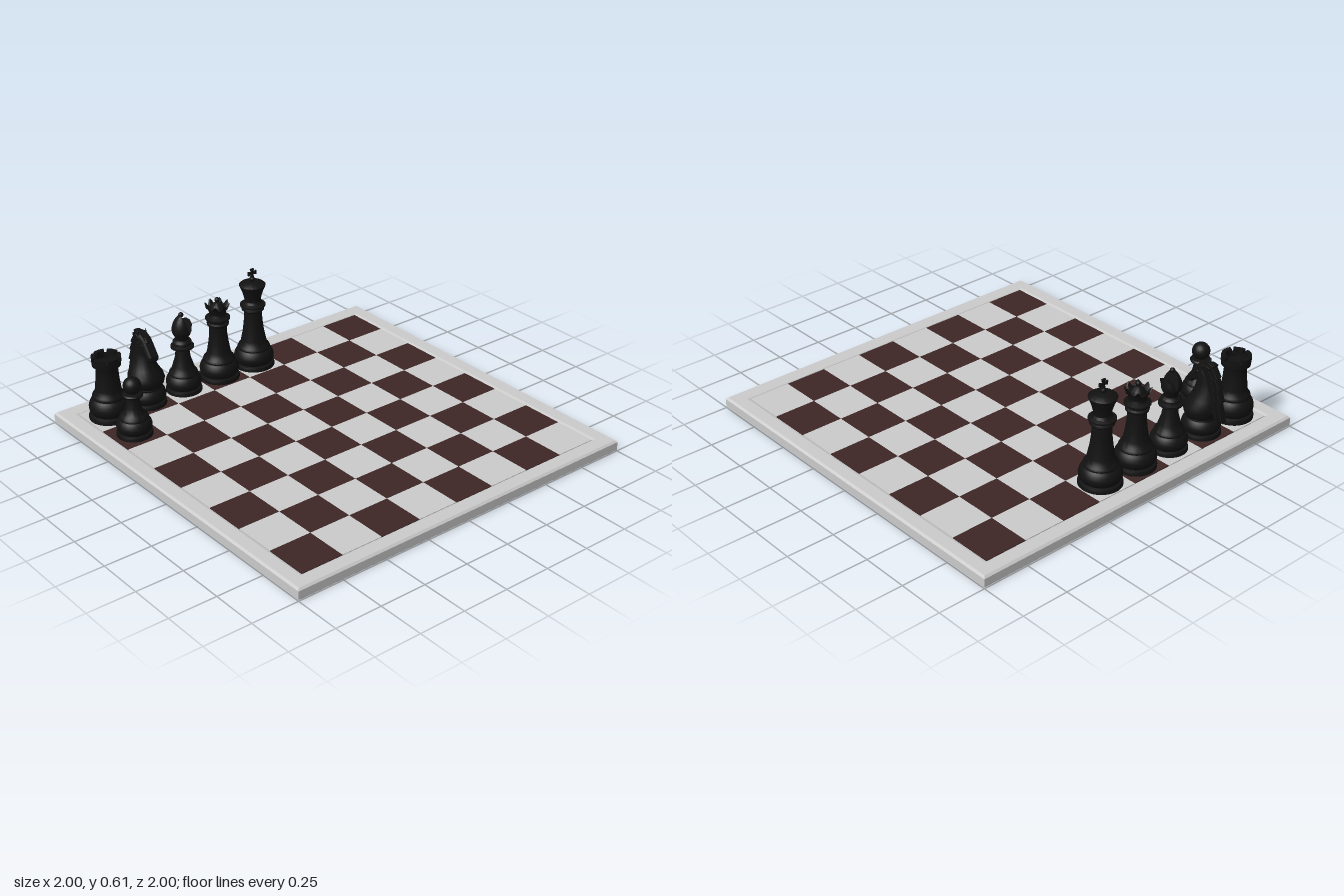
import * as THREE from 'three';
import { toCreasedNormals } from 'three/addons/utils/BufferGeometryUtils.js';

const light = new THREE.MeshStandardMaterial({ color: 0xcccccc });
const dark = new THREE.MeshStandardMaterial({ color: 0x3d2626 });
const black = new THREE.MeshStandardMaterial({ color: 0x111111, side: THREE.DoubleSide });
const CELL = 0.2275, TOP = 0.056;

function add(parent, name, geometry, material = black, x = 0, y = 0, z = 0) {
  const mesh = new THREE.Mesh(geometry, material);
  mesh.name = name;
  mesh.position.set(x, y, z);
  parent.add(mesh);
  return mesh;
}

// Turned form from [radius, height] pairs; an optional rule moves each vertex
function turned(profile, rule, segments = 48) {
  const g = new THREE.LatheGeometry(profile.map(([r, y]) => new THREE.Vector2(r, y)), segments);
  if (rule) {
    const p = g.attributes.position, v = new THREE.Vector3();
    for (let i = 0; i < p.count; i++) {
      rule(v.fromBufferAttribute(p, i));
      p.setXYZ(i, v.x, v.y, v.z);
    }
  }
  return toCreasedNormals(g, 0.6);
}

// Side silhouette ([z, y] pairs) given thickness along x
function slab(points, width, bevel) {
  const shape = new THREE.Shape(points.map(([z, y]) => new THREE.Vector2(z, y)));
  const depth = width - 2 * bevel;
  const g = new THREE.ExtrudeGeometry(shape, {
    depth, bevelThickness: bevel, bevelSize: bevel, bevelOffset: -bevel, bevelSegments: 2,
  });
  return g.translate(0, 0, -depth / 2).rotateY(-Math.PI / 2);
}

// Shared moulded foot, scaled by radius and height
function foot(r, h) {
  return [[0, 0], [1, 0], [1, 0.1], [0.97, 0.17], [0.86, 0.2], [0.9, 0.25], [0.97, 0.36], [0.98, 0.48],
    [0.93, 0.62], [0.84, 0.74], [0.78, 0.78], [0.8, 0.84], [0.76, 0.92], [0.66, 1]]
    .map(([a, b]) => [a * r, TOP + b * h]);
}

function ball(parent, name, r, y) {
  return add(parent, name, new THREE.SphereGeometry(r, 24, 16), black, 0, y, 0);
}

function createBoard() {
  const board = new THREE.Group();
  board.name = 'board';
  // Square moulded rim: a four-sided turned profile
  const rim = [[0, 0], [0.994, 0], [1, 0.006], [1, 0.05], [0.99, 0.06], [0.925, 0.06], [0.915, 0.057], [0.91, 0.05], [0.9, 0.05]];
  const g = new THREE.LatheGeometry(rim.map(([r, y]) => new THREE.Vector2(r * Math.SQRT2, y)), 4);
  add(board, 'rim', toCreasedNormals(g.rotateY(Math.PI / 4), 0.2), light);
  const tile = new THREE.BoxGeometry(CELL, 0.01, CELL);
  for (let i = 0; i < 8; i++) for (let j = 0; j < 8; j++)
    add(board, 'square', tile, (i + j) % 2 ? dark : light, (i - 3.5) * CELL, TOP - 0.005, (j - 3.5) * CELL);
  return board;
}

function pawn(g) {
  add(g, 'pawnBody', turned([...foot(0.092, 0.115), [0.05, 0.18], [0.04, 0.21], [0.032, 0.25], [0.032, 0.262],
    [0.05, 0.268], [0.053, 0.277], [0.048, 0.284], [0.027, 0.288], [0.022, 0.3]]));
  ball(g, 'pawnHead', 0.046, 0.324);
}

function rook(g) {
  add(g, 'rookBody', turned([...foot(0.105, 0.145), [0.066, 0.22], [0.06, 0.27], [0.056, 0.33], [0.06, 0.342],
    [0.073, 0.35], [0.075, 0.38], [0.055, 0.38], [0.053, 0.36], [0, 0.36]]));
  // Battlements around the top
  const n = 6, half = 0.41;
  const arc = new THREE.Shape();
  arc.absarc(0, 0, 0.075, -half, half, false);
  arc.absarc(0, 0, 0.053, half, -half, true);
  const merlon = new THREE.ExtrudeGeometry(arc, { depth: 0.03, bevelEnabled: false, curveSegments: 8 }).rotateX(-Math.PI / 2);
  for (let i = 0; i < n; i++)
    add(g, 'battlement', merlon, black, 0, 0.37, 0).rotation.y = (i + 0.5) * 2 * Math.PI / n;
}

function knight(g) {
  add(g, 'knightFoot', turned([...foot(0.1, 0.12).slice(0, -1), [0.078, 0.17], [0, 0.17]]));
  // Chest and neck: oval sections leaning back
  add(g, 'knightNeck', turned([[0, 0.145], [0.075, 0.15], [0.09, 0.175], [0.096, 0.2], [0.09, 0.225], [0.07, 0.26],
    [0.052, 0.3], [0.04, 0.345], [0.036, 0.385], [0.032, 0.415], [0.02, 0.432], [0, 0.438]], (v) => {
    const t = Math.max(0, (v.y - 0.2) / 0.24);
    v.z = v.z * (0.95 + 0.6 * t) - 0.02 * Math.sin(t * Math.PI);
  }));
  // Head looking forward and down
  add(g, 'knightHead', slab([[-0.05, 0.37], [-0.045, 0.425], [-0.01, 0.445], [0.025, 0.43], [0.055, 0.39], [0.085, 0.35],
    [0.088, 0.33], [0.075, 0.315], [0.06, 0.318], [0.045, 0.335], [0.02, 0.34], [0, 0.32], [-0.03, 0.32]], 0.062, 0.014));
  for (const s of [-1, 1]) {
    const ear = add(g, 'ear', new THREE.ConeGeometry(0.014, 0.055, 12), black, s * 0.02, 0.44, -0.015);
    ear.rotation.z = -s * 0.12;
    const eye = add(g, 'eye', new THREE.SphereGeometry(0.008, 12, 8), black, s * 0.03, 0.395, 0.02);
    eye.scale.x = 0.6;
  }
  // Jagged mane, thick inner locks and a thinner outer fringe
  const mane = [[0, 0.44], [-0.035, 0.455], [-0.07, 0.45], [-0.062, 0.435], [-0.095, 0.39], [-0.085, 0.385], [-0.112, 0.335],
    [-0.1, 0.335], [-0.128, 0.27], [-0.112, 0.272], [-0.145, 0.165], [-0.1, 0.205], [-0.07, 0.245], [-0.03, 0.3]];
  add(g, 'mane', slab(mane, 0.034, 0.004));
  for (const s of [-1, 1])
    add(g, 'sideLocks', slab(mane.map(([z, y]) => [z * 0.86, y * 0.93 + 0.022]), 0.02, 0.003), black, s * 0.022, 0, 0);
}

function bishop(g) {
  add(g, 'bishopBody', turned([...foot(0.095, 0.12), [0.055, 0.2], [0.042, 0.24], [0.035, 0.29], [0.04, 0.296], [0.06, 0.302],
    [0.061, 0.312], [0.045, 0.318], [0.043, 0.328], [0.05, 0.334], [0.045, 0.342], [0.033, 0.348], [0.036, 0.362],
    [0.046, 0.38], [0.05, 0.395], [0, 0.395]]));
  // Mitre split by a V-shaped slit
  const mitre = [[0, 0.39], [0.05, 0.39], [0.051, 0.402], [0.049, 0.418], [0.044, 0.436], [0.035, 0.455], [0.022, 0.472], [0.012, 0.48], [0, 0.482]];
  add(g, 'mitre', turned(mitre, (v) => { v.x = Math.min(v.x, 0.015 - 0.25 * (v.y - 0.39)); }));
  add(g, 'mitreHorn', turned(mitre, (v) => {
    v.y = Math.min(v.y, 0.45);
    v.x = Math.max(v.x, 0.017 + 0.42 * (v.y - 0.39));
    if (v.y === 0.45) v.z *= 0.5;
  }));
  ball(g, 'finial', 0.013, 0.484);
}

function queen(g) {
  add(g, 'queenBody', turned([...foot(0.106, 0.13), [0.062, 0.21], [0.053, 0.26], [0.047, 0.31], [0.046, 0.355], [0.056, 0.362],
    [0.058, 0.372], [0.048, 0.378], [0.05, 0.388], [0.065, 0.396], [0.065, 0.404], [0.045, 0.412], [0.041, 0.425]]));
  // Flared crown with eight points
  add(g, 'crown', turned([[0.041, 0.42], [0.044, 0.435], [0.052, 0.455], [0.067, 0.483], [0.06, 0.48], [0.045, 0.45], [0.038, 0.452],
    [0.032, 0.468], [0.018, 0.482], [0, 0.488]], (v) => {
    if (v.y < 0.47 || Math.hypot(v.x, v.z) < 0.055) return;
    const dip = 0.5 - 0.5 * Math.cos(8 * Math.atan2(v.x, v.z));
    v.y -= 0.028 * dip;
    v.x *= 1 - 0.12 * dip;
    v.z *= 1 - 0.12 * dip;
  }, 64));
  ball(g, 'finial', 0.014, 0.5);
}

function king(g) {
  add(g, 'kingBody', turned([...foot(0.108, 0.13), [0.066, 0.21], [0.056, 0.26], [0.049, 0.32], [0.047, 0.37], [0.052, 0.375],
    [0.06, 0.382], [0.058, 0.39], [0.05, 0.394], [0.067, 0.402], [0.067, 0.411], [0.05, 0.418], [0.043, 0.43], [0.045, 0.45],
    [0.055, 0.485], [0.068, 0.515], [0.07, 0.522], [0.06, 0.53], [0.035, 0.538], [0.012, 0.542], [0, 0.543]]));
  ball(g, 'finial', 0.014, 0.552);
  // Cross of four flared arms
  const arm = new THREE.Shape([[-0.003, 0], [0.003, 0], [0.011, 0.025], [-0.011, 0.025]].map(([x, y]) => new THREE.Vector2(x, y)));
  const armGeo = new THREE.ExtrudeGeometry(arm, { depth: 0.01, bevelEnabled: false }).translate(0, 0, -0.005);
  for (let i = 0; i < 4; i++) add(g, 'crossArm', armGeo, black, 0, 0.585, 0).rotation.z = i * Math.PI / 2;
}

export function createModel() {
  const model = new THREE.Group();
  model.name = 'chessSet';
  model.add(createBoard());
  const pieces = [['rook', rook, 0, 0], ['knight', knight, 1, 0], ['bishop', bishop, 2, 0],
    ['queen', queen, 3, 0], ['king', king, 4, 0], ['pawn', pawn, 0, 1]];
  for (const [name, build, column, row] of pieces) {
    const piece = new THREE.Group();
    piece.name = name;
    build(piece);
    piece.position.set((column - 3.5) * CELL, 0, (row - 3.5) * CELL);
    model.add(piece);
  }
  return model;
}
